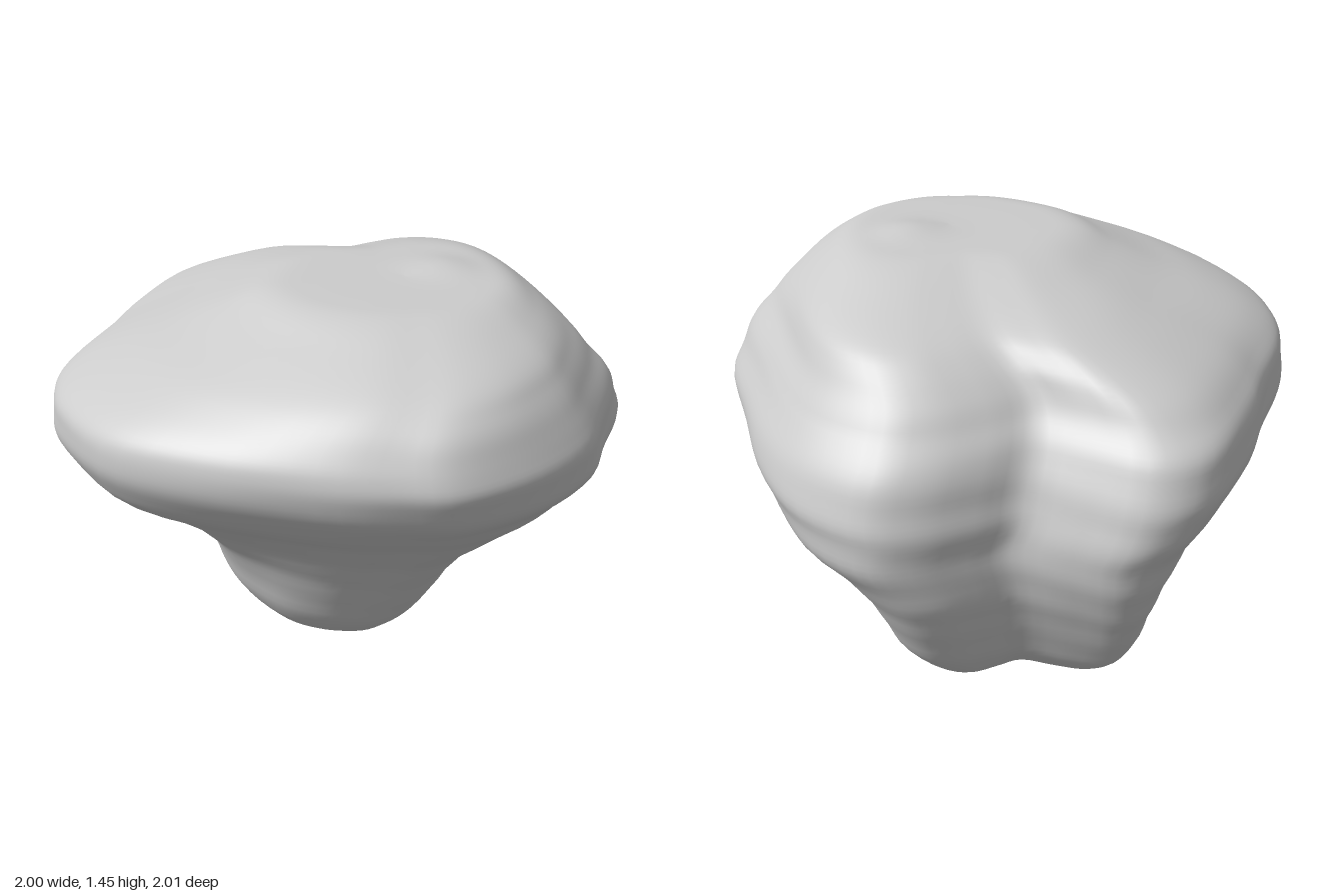
import * as THREE from 'three';

// Three outlines seen from above as [x, z], each with two lobes and a notch at the back; their points match up
const BELLY = [
  [0.01, -0.82], [-0.16, -0.91], [-0.35, -1], [-0.55, -0.92], [-0.73, -0.65], [-0.83, -0.42], [-0.96, -0.17],
  [-1, 0.02], [-0.97, 0.25], [-0.82, 0.57], [-0.53, 0.78], [-0.2, 0.93], [0.04, 0.98],
  [0.23, 1], [0.49, 0.91], [0.71, 0.74], [0.83, 0.55], [0.95, 0.35],
  [1, 0.17], [0.94, -0.15], [0.85, -0.5], [0.73, -0.76], [0.53, -0.92], [0.35, -0.93], [0.16, -0.87],
];
const FOOT = [
  [0, -0.85], [-0.35, -0.94], [-0.65, -1], [-0.82, -0.9], [-0.93, -0.7], [-0.98, -0.45], [-1, -0.2],
  [-0.99, 0], [-0.94, 0.25], [-0.83, 0.52], [-0.6, 0.77], [-0.32, 0.92], [-0.08, 0.98],
  [0.18, 1], [0.42, 0.93], [0.63, 0.78], [0.79, 0.58], [0.92, 0.32],
  [0.98, 0.1], [1, -0.2], [0.97, -0.5], [0.9, -0.75], [0.72, -0.92], [0.5, -0.96], [0.25, -0.9],
];
const CAP = [
  [0.05, -0.9], [-0.15, -0.93], [-0.35, -0.95], [-0.55, -0.84], [-0.72, -0.68], [-0.86, -0.45], [-0.96, -0.2],
  [-1, 0.02], [-0.95, 0.28], [-0.8, 0.56], [-0.54, 0.8], [-0.25, 0.95], [0, 0.99],
  [0.22, 1], [0.45, 0.93], [0.68, 0.78], [0.82, 0.6], [0.94, 0.36],
  [1, 0.12], [1, -0.2], [0.95, -0.55], [0.84, -0.8], [0.66, -0.95], [0.45, -1], [0.25, -0.96],
];

// Levels from bottom to top: y, left x, right x, back z, front z, outline (-1 foot, 0 belly, 1 cap)
const LEVELS = [
  [0, 0.05, 0.05, -0.38, -0.38, -1],
  [0.03, -0.18, 0.22, -0.55, 0.03, -1],
  [0.05, -0.3, 0.31, -0.62, 0.23, -1],
  [0.1, -0.37, 0.38, -0.69, 0.31, -1],
  [0.2, -0.44, 0.46, -0.77, 0.39, -1],
  [0.4, -0.51, 0.56, -0.88, 0.51, -0.75],
  [0.55, -0.62, 0.69, -0.95, 0.61, -0.4],
  [0.69, -0.77, 0.88, -0.985, 0.73, -0.15],
  [0.8, -0.92, 0.96, -1, 0.84, 0],
  [0.9, -0.985, 0.995, -0.99, 0.935, 0],
  [1.02, -0.995, 0.95, -0.95, 0.995, 0],
  [1.1, -0.965, 0.905, -0.88, 0.99, 0],
  [1.17, -0.87, 0.84, -0.82, 0.96, 0.12],
  [1.24, -0.71, 0.78, -0.73, 0.905, 0.4],
  [1.3, -0.54, 0.72, -0.62, 0.83, 0.7],
  [1.36, -0.39, 0.64, -0.42, 0.69, 1],
  [1.415, -0.26, 0.55, -0.22, 0.53, 1],
  [1.425, -0.1, 0.43, -0.08, 0.4, 1],
  [1.425, 0.2, 0.2, 0.16, 0.16, 1],
];

const SIDES = 96;
const RINGS = 90;

function smoothCurve(points, closed) {
  return new THREE.CatmullRomCurve3(points, closed, 'catmullrom', 0.5);
}

function outlinePoints(outline) {
  const curve = smoothCurve(outline.map(([x, z]) => new THREE.Vector3(x, 0, z)), true);
  return Array.from({ length: SIDES }, (_, j) => curve.getPoint(j / SIDES));
}

function boulderGeometry() {
  const [belly, foot, cap] = [BELLY, FOOT, CAP].map(outlinePoints);
  const widths = smoothCurve(LEVELS.map(([y, l, r]) => new THREE.Vector3(l, y, r)), false);
  const depths = smoothCurve(LEVELS.map(([, , , b, f, s]) => new THREE.Vector3(b, s, f)), false);
  const positions = [];
  const indices = [];

  for (let i = 0; i <= RINGS; i++) {
    const w = widths.getPoint(i / RINGS);
    const d = depths.getPoint(i / RINGS);
    const target = d.y < 0 ? foot : cap;
    for (let j = 0; j < SIDES; j++) {
      const p = belly[j].clone().lerp(target[j], Math.abs(d.y));
      // Faint weathered ledges that wander round the sides
      const a = Math.atan2(p.z, p.x);
      const ledge = 1 + 0.003 * Math.sin(w.y * 42 + 2 * Math.sin(a * 2)) + 0.003 * Math.sin(a * 9 + w.y * 7);
      const x = (w.x + w.z) / 2 + p.x * ledge * (w.z - w.x) / 2;
      const z = (d.x + d.z) / 2 + p.z * ledge * (d.z - d.x) / 2;
      // Low knob on the flat top
      const knob = w.y > 1.3 ? 0.022 * Math.exp(-((x - 0.34) ** 2 + (z - 0.1) ** 2) / 0.012) : 0;
      positions.push(x, Math.max(0, w.y + knob), z);
      if (i < RINGS) {
        const k = (j + 1) % SIDES;
        const [q0, q1, q2, q3] = [i * SIDES + j, i * SIDES + k, (i + 1) * SIDES + k, (i + 1) * SIDES + j];
        indices.push(q0, q1, q2, q0, q2, q3);
      }
    }
  }

  const geometry = new THREE.BufferGeometry();
  geometry.setAttribute('position', new THREE.Float32BufferAttribute(positions, 3));
  geometry.setIndex(indices);
  geometry.computeVertexNormals();
  return geometry;
}

export function createModel() {
  const model = new THREE.Group();
  model.name = 'rock';
  const stone = new THREE.MeshStandardMaterial({ color: 0xcccccc });
  stone.name = 'stone grey';
  const boulder = new THREE.Mesh(boulderGeometry(), stone);
  boulder.name = 'boulder';
  model.add(boulder);
  return model;
}
